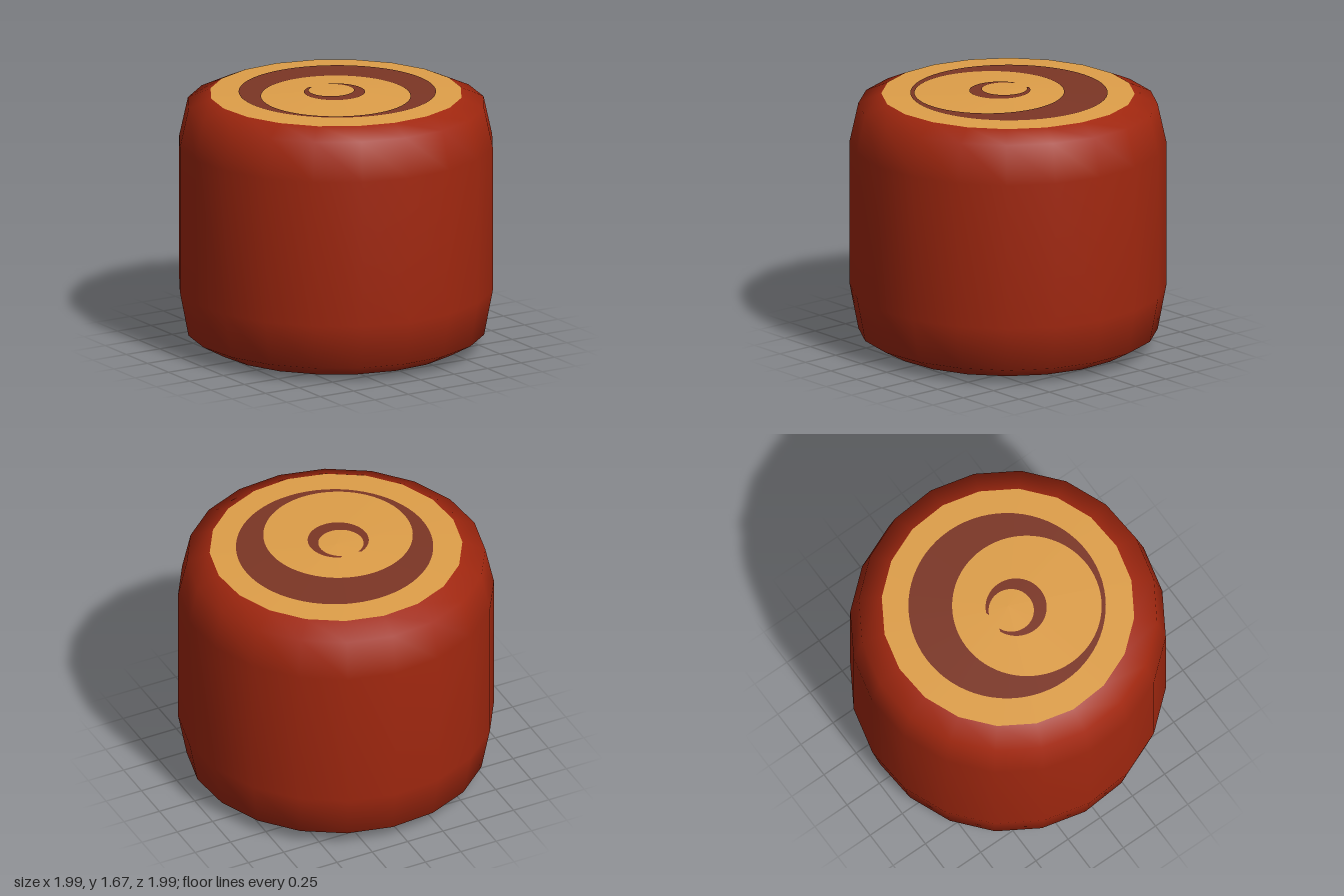
import * as THREE from 'three';

const SIDES = 20, TWIST = -0.08;
const TOP = 1.67, DOME = 0.025, CAP_R = 0.8;

export function createModel() {
  const red = new THREE.MeshStandardMaterial({ color: 0xa0270f });
  const tan = new THREE.MeshStandardMaterial({ color: 0xdf9f49 });
  const brown = new THREE.MeshStandardMaterial({ color: 0x7c3625, side: THREE.DoubleSide });
  red.name = 'red casing';
  tan.name = 'tan end';
  brown.name = 'brown swirl';

  const group = new THREE.Group();
  group.name = 'roundedLog';
  const add = (name, geometry, material) => {
    const mesh = new THREE.Mesh(geometry, material);
    mesh.name = name;
    group.add(mesh);
  };
  const lathe = (profile) => new THREE.LatheGeometry(
    profile.map(([r, y]) => new THREE.Vector2(r, y)), SIDES, TWIST);

  // Barrel with softened rims
  add('casing', lathe([[CAP_R, 0.02], [0.945, 0.1], [1, 0.39], [1, 1.33], [0.945, 1.58], [CAP_R, TOP - DOME]]), red);

  // Slightly domed ends
  add('topEnd', lathe([[CAP_R, TOP - DOME], [0, TOP]]), tan);
  add('bottomEnd', lathe([[0, 0], [CAP_R, 0.02]]), tan);

  // Crescent between an outer and an inner circle, open by `gap` around angle `dir`,
  // laid just above the domed end
  function crescent(name, top, [cx, cz, R], [hx, hz, r], dir = 0, gap = 0) {
    const geometry = new THREE.PlaneGeometry(1, 1, 72, 4);
    const p = geometry.attributes.position;
    for (let i = 0; i < p.count; i++) {
      const a = dir + gap + (p.getX(i) + 0.5) * (Math.PI * 2 - gap * 2);
      const t = top ? p.getY(i) + 0.5 : 0.5 - p.getY(i);
      const rad = THREE.MathUtils.lerp(R, r, t);
      const x = THREE.MathUtils.lerp(cx, hx, t) + rad * Math.cos(a);
      const z = THREE.MathUtils.lerp(cz, hz, t) + rad * Math.sin(a);
      const slope = Math.hypot(x, z) / CAP_R;
      const y = top ? TOP - DOME * slope + 0.003 : 0.02 * slope - 0.003;
      p.setXYZ(i, x, y, z);
    }
    geometry.computeVertexNormals();
    add(name, geometry, brown);
  }

  crescent('topOuterSwirl', true, [0.01, 0, 0.623], [-0.065, 0.1, 0.472]);
  crescent('topInnerSwirl', true, [-0.035, 0.038, 0.193], [-0.035, 0, 0.143], -Math.PI / 2, 0.4);
  crescent('bottomOuterSwirl', false, [-0.005, -0.01, 0.63], [-0.095, 0.08, 0.48], Math.PI * 0.75, 0.25);
  crescent('bottomInnerSwirl', false, [-0.037, 0.01, 0.193], [0, 0.005, 0.143], 0, 0.72);

  return group;
}
